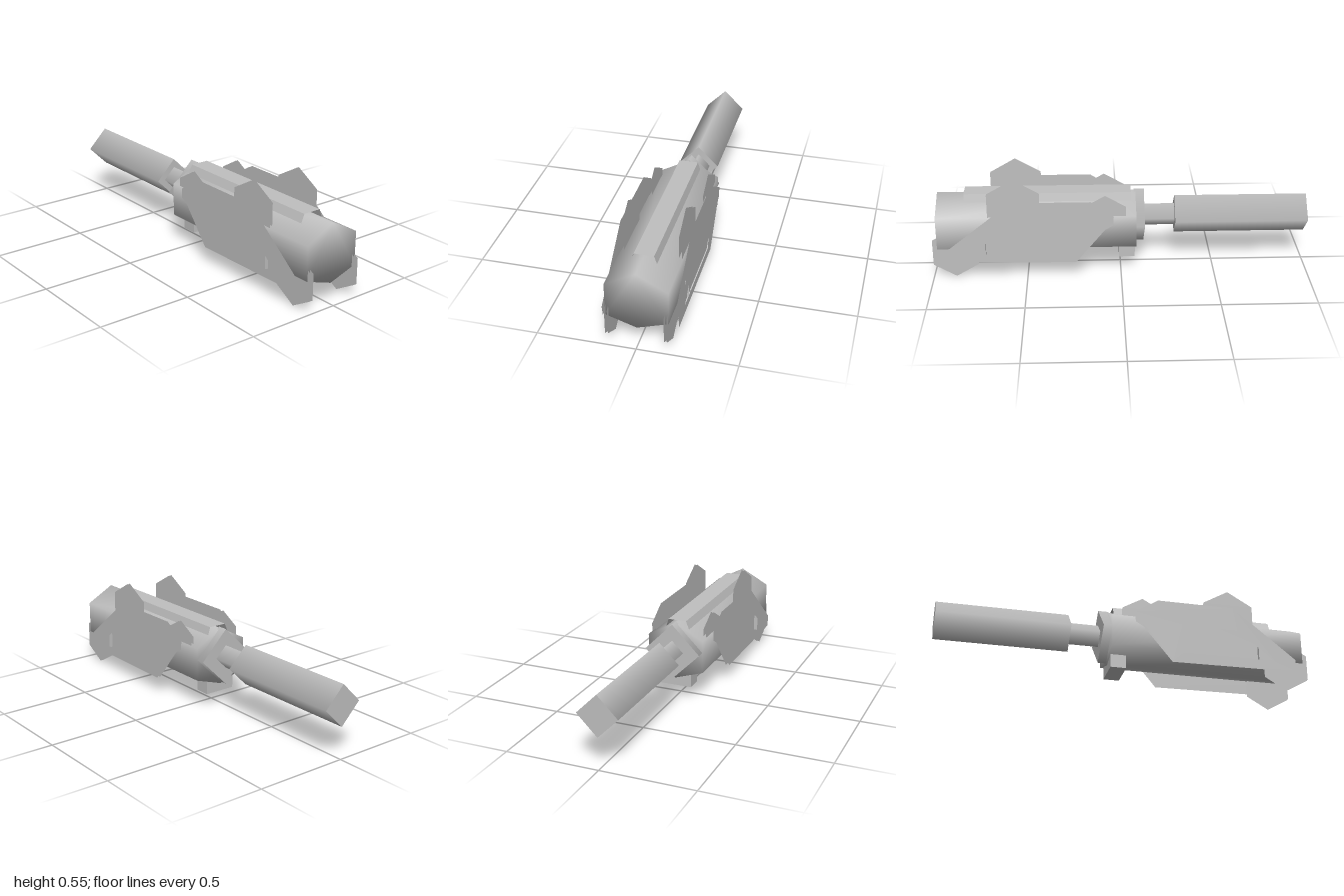
import * as THREE from 'three';
import { mergeVertices } from 'three/addons/utils/BufferGeometryUtils.js';

export function createModel() {
  const root = new THREE.Group();
  const metal = new THREE.MeshStandardMaterial({ color: 0xbfbfbf, side: THREE.DoubleSide });
  metal.name = 'plain grey metal';

  const add = (geometry, name, parent = root) => {
    const mesh = new THREE.Mesh(geometry, metal);
    mesh.name = name;
    parent.add(mesh);
    return mesh;
  };
  const points = (list) => list.map(([a, b]) => new THREE.Vector2(a, b));

  // Six-sided main body, its shared corners softening the nose
  const hex = points([[0, 0.425], [-0.156, 0.341], [-0.156, 0.163], [0, 0.112], [0.156, 0.163], [0.156, 0.341]]);
  let body = new THREE.ExtrudeGeometry(new THREE.Shape(hex), { depth: 1.055, bevelEnabled: false });
  body.translate(0, 0, -0.08);
  body.deleteAttribute('normal');
  body.deleteAttribute('uv');
  body = mergeVertices(body);
  body.computeVertexNormals();
  add(body, 'body');

  // Open-ended raised rail along the top
  const railProfile = [[-0.075, 0.37], [-0.05, 0.433], [0.05, 0.433], [0.07, 0.37]];
  for (let i = 0; i < 3; i++) {
    const [x0, y0] = railProfile[i], [x1, y1] = railProfile[i + 1];
    const strip = new THREE.PlaneGeometry(Math.hypot(x1 - x0, y1 - y0), 0.885);
    strip.rotateX(-Math.PI / 2);
    strip.rotateZ(Math.atan2(y1 - y0, x1 - x0));
    strip.translate((x0 + x1) / 2, (y0 + y1) / 2, 0.3875);
    add(strip, 'topRail');
  }

  // Four-sided collar, rod and rear barrel, with softened corners
  const diamond = (radius, zFront, zBack, y, name) => {
    const g = new THREE.CylinderGeometry(radius, radius, zFront - zBack, 4);
    g.rotateX(Math.PI / 2);
    g.translate(0, y, (zFront + zBack) / 2);
    add(g, name);
  };
  diamond(0.154, -0.07, -0.126, 0.277, 'collar');
  diamond(0.063, -0.12, -0.3, 0.278, 'rod');
  diamond(0.109, -0.29, -1, 0.279, 'rearBarrel');

  // Small foot under the rear of the body
  const foot = new THREE.BoxGeometry(0.175, 0.08, 0.085);
  foot.translate(0, 0.108, -0.033);
  add(foot, 'foot');

  // Flat sheet drawn in (z, y) and stood at a given x
  const sheet = (outline, x, name, parent, hole) => {
    const shape = new THREE.Shape(points(outline.map(([z, y]) => [-z, y])));
    if (hole) shape.holes.push(new THREE.Path(points(hole.map(([z, y]) => [-z, y]))));
    const g = new THREE.ShapeGeometry(shape);
    g.rotateY(Math.PI / 2);
    g.translate(x, 0, 0);
    add(g, name, parent);
  };
  const plate = [[0.922, 0.16], [0.91, 0.1], [0.24, 0.092], [0.086, 0.28],
    [0.043, 0.306], [0.04, 0.355], [0.16, 0.433], [0.58, 0.433]];
  const windowHole = [[0.8, 0.145], [0.6, 0.303], [0.295, 0.305], [0.295, 0.14]];
  const hexagons = [[0.88, 0.138, 0.138], [0.565, 0.392, 0.158], [0.085, 0.326, 0.127]];

  // Side armour: double-skinned plate with a recessed window, over three hexagons
  for (const s of [-1, 1]) {
    const side = new THREE.Group();
    side.name = s > 0 ? 'leftArmour' : 'rightArmour';
    root.add(side);
    sheet(plate, s * 0.19, 'outerPlate', side, windowHole);
    sheet(plate, s * 0.17, 'innerPlate', side);

    const rib = new THREE.PlaneGeometry(0.02, 0.09);
    rib.translate(s * 0.18, 0.184, 0.715);
    add(rib, 'windowRib', side);

    for (const [z, y, r] of hexagons) {
      const outline = [];
      for (let i = 0; i < 6; i++) {
        const a = Math.PI / 2 + (i * Math.PI) / 3;
        outline.push([z + r * Math.cos(a), y + r * Math.sin(a)]);
      }
      for (const x of [0.138, 0.152]) sheet(outline, s * x, 'hexagonPlate', side);
    }
  }
  return root;
}
